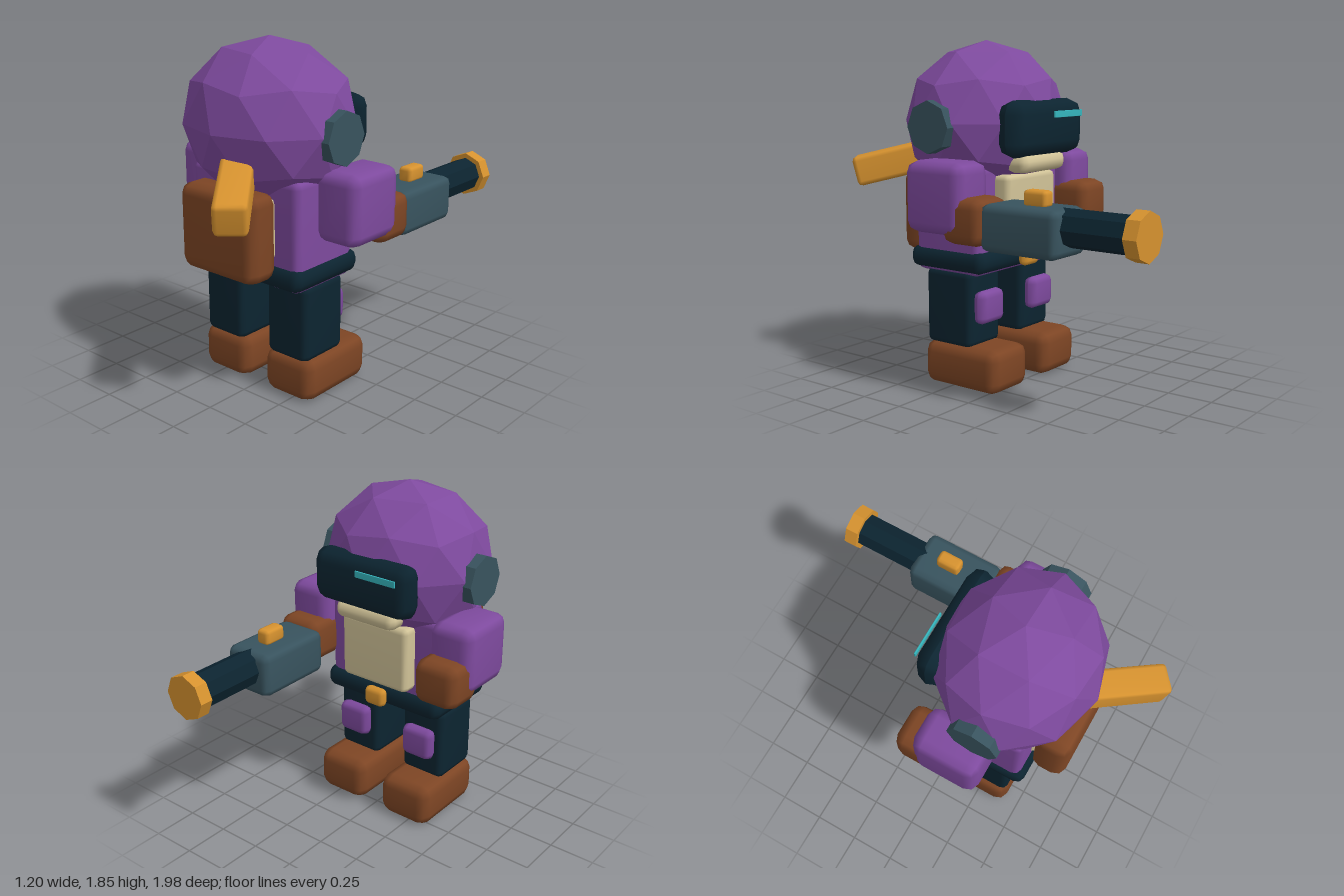
import * as THREE from 'three';
import { mergeVertices } from 'three/addons/utils/BufferGeometryUtils.js';

function material(name, color) {
  const m = new THREE.MeshStandardMaterial({ color });
  m.name = name;
  return m;
}

// Box with softly bevelled edges: a 3x3x3 grid whose rim vertices are pulled inward.
function bevelBox(w, h, d, bevel) {
  const geo = new THREE.BoxGeometry(1, 1, 1, 3, 3, 3);
  const pos = geo.attributes.position;
  const half = [w / 2, h / 2, d / 2];
  const inset = [0, 0, 0.29, 0.42]; // by number of rim axes: face, edge, corner
  for (let i = 0; i < pos.count; i++) {
    const p = [pos.getX(i), pos.getY(i), pos.getZ(i)];
    const rim = p.map((v) => Math.abs(v) > 0.4);
    const k = inset[rim.filter(Boolean).length];
    const q = p.map((v, a) => Math.sign(v) * (half[a] - bevel * (rim[a] ? k : 1)));
    pos.setXYZ(i, q[0], q[1], q[2]);
  }
  geo.deleteAttribute('uv');
  geo.deleteAttribute('normal');
  const merged = mergeVertices(geo, 1e-5);
  merged.computeVertexNormals();
  return merged;
}

// Faceted version of a geometry
function faceted(geo) {
  const g = geo.index ? geo.toNonIndexed() : geo;
  g.computeVertexNormals();
  return g;
}

export function createModel() {
  const model = new THREE.Group();
  model.name = 'spaceTrooper';

  const purple = material('purple suit', 0x7e4a9e);
  const brown = material('brown leather', 0x7d4524);
  const dark = material('dark navy', 0x0c2430);
  const slate = material('slate metal', 0x38535e);
  const gold = material('gold', 0xd6922f);
  const cream = material('cream plate', 0xd0c297);
  const cyan = material('cyan glow', 0x35b5bd);

  function add(name, geo, mat, x = 0, y = 0, z = 0) {
    const mesh = new THREE.Mesh(geo, mat);
    mesh.name = name;
    mesh.position.set(x, y, z);
    model.add(mesh);
    return mesh;
  }

  // Bevelled block given by its extents on each axis
  function block(name, mat, [x0, x1], [y0, y1], [z0, z1], bevel) {
    return add(name, bevelBox(x1 - x0, y1 - y0, z1 - z0, bevel), mat,
      (x0 + x1) / 2, (y0 + y1) / 2, (z0 + z1) / 2);
  }

  // Legs, arms and ears, mirrored
  for (const s of [-1, 1]) {
    const side = s > 0 ? 'left' : 'right';
    const span = (a, b) => (s > 0 ? [a, b] : [-b, -a]);
    block(side + 'Boot', brown, span(0.065, 0.38), [0, 0.24], [-0.07, 0.42], 0.06);
    block(side + 'Leg', dark, span(0.09, 0.355), [0.225, 0.64], [0.11, 0.415], 0.035);
    block(side + 'KneePad', purple, span(0.125, 0.32), [0.355, 0.535], [0.045, 0.125], 0.037);
    block(side + 'UpperArm', purple, span(0.345, 0.6), [0.87, 1.24], [-0.03, 0.34], 0.06);
    block(side + 'Glove', brown, span(0.335, 0.588), [0.83, 1.07], [-0.145, 0.105], 0.055);

    const ear = new THREE.CylinderGeometry(0.137, 0.137, 0.1, 8);
    ear.rotateZ(Math.PI / 2);
    add(side + 'EarPiece', faceted(ear), slate, s * 0.44, 1.403, 0.267);
  }

  // Torso
  block('torso', purple, [-0.36, 0.36], [0.62, 1.2], [0.045, 0.48], 0.04);
  block('belt', dark, [-0.38, 0.38], [0.635, 0.755], [0.015, 0.51], 0.045);
  block('beltBuckle', gold, [-0.065, 0.065], [0.645, 0.75], [-0.045, 0.015], 0.028);
  block('chestPlate', cream, [-0.215, 0.215], [0.78, 1.15], [-0.04, 0.1], 0.03);
  block('backPlate', cream, [-0.215, 0.215], [0.78, 1.1], [0.44, 0.51], 0.03);
  block('backpack', brown, [-0.255, 0.25], [0.69, 1.145], [0.49, 0.685], 0.06);

  // Faceted helmet with one vertex at the crown
  const head = new THREE.IcosahedronGeometry(1, 1);
  head.rotateZ(-Math.atan2(2, 1 + Math.sqrt(5)));
  head.scale(0.478, 0.43, 0.42);
  add('helmet', faceted(head), purple, 0, 1.42, 0.27);

  // Face
  block('visor', dark, [-0.31, 0.31], [1.245, 1.54], [-0.17, -0.02], 0.073);
  block('visorLight', cyan, [-0.25, 0], [1.445, 1.48], [-0.188, -0.179], 0.002);
  block('chinGuard', cream, [-0.19, 0.19], [1.16, 1.26], [-0.13, 0.01], 0.04);

  // Scarf tail trailing behind the neck
  const scarf = add('scarfTail', bevelBox(0.165, 0.165, 0.57, 0.025), gold, 0.18, 1.19, 0.715);
  scarf.rotation.set(0.23, 0.69, 0, 'YXZ');

  // Blaster held forward on one arm
  block('blasterBody', slate, [0.28, 0.558], [0.81, 1.05], [-0.575, -0.12], 0.04);
  block('blasterSight', gold, [0.38, 0.458], [1.04, 1.125], [-0.45, -0.315], 0.02);
  const tube = (name, mat, r, z0, z1) => {
    const geo = new THREE.CylinderGeometry(r, r, z1 - z0, 8);
    geo.rotateX(Math.PI / 2);
    add(name, faceted(geo), mat, 0.42, 0.957, (z0 + z1) / 2);
  };
  tube('blasterBarrel', dark, 0.095, -0.95, -0.53);
  tube('blasterMuzzle', gold, 0.122, -1, -0.927);

  return model;
}
